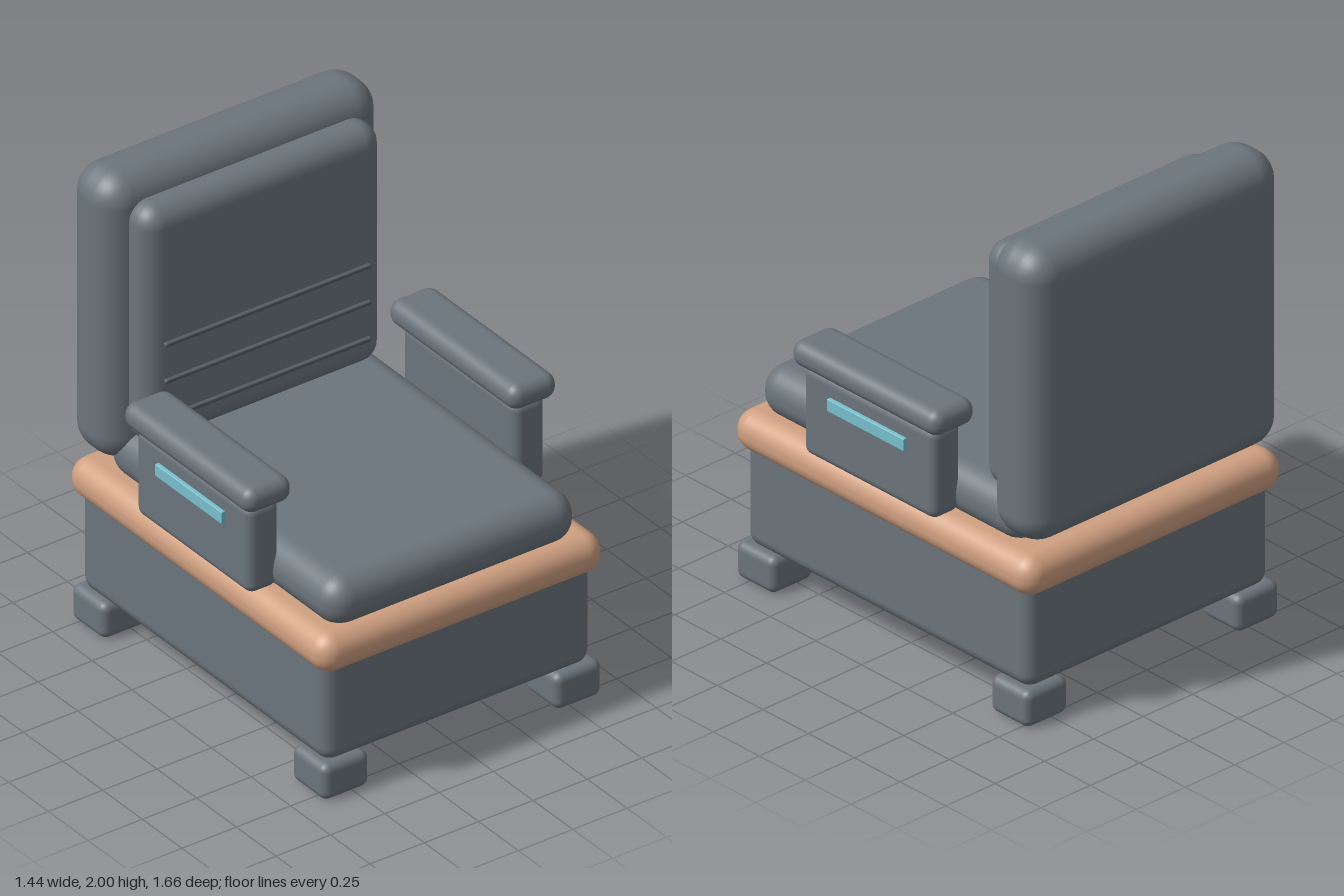
import * as THREE from 'three';
import { RoundedBoxGeometry } from 'three/addons/geometries/RoundedBoxGeometry.js';

const upholstery = new THREE.MeshStandardMaterial({ name: 'slate grey', color: 0x6b757c });
const trimColor = new THREE.MeshStandardMaterial({ name: 'warm tan', color: 0xd0a081 });
const accent = new THREE.MeshStandardMaterial({ name: 'pale cyan', color: 0x78c0ce });
const seam = new THREE.MeshStandardMaterial({ name: 'seam grey', color: 0x555d64 });

// Rounded box given by its [min, max] extents on each axis
function block(name, material, [x0, x1], [y0, y1], [z0, z1], radius) {
  const geometry = new RoundedBoxGeometry(x1 - x0, y1 - y0, z1 - z0, 4, radius);
  const mesh = new THREE.Mesh(geometry, material);
  mesh.name = name;
  mesh.position.set((x0 + x1) / 2, (y0 + y1) / 2, (z0 + z1) / 2);
  return mesh;
}

export function createModel() {
  const chair = new THREE.Group();
  chair.name = 'armchair';

  // Base, trim and seat
  chair.add(
    block('base', upholstery, [-0.617, 0.615], [0.14, 0.62], [-0.768, 0.79], 0.06),
    block('trim', trimColor, [-0.657, 0.653], [0.543, 0.712], [-0.81, 0.832], 0.08),
    block('seatCushion', upholstery, [-0.575, 0.572], [0.68, 0.892], [-0.675, 0.78], 0.1),
  );

  // Backrest with its front pad
  chair.add(
    block('backrest', upholstery, [-0.64, 0.636], [0.753, 2], [-0.828, -0.545], 0.12),
    block('backPad', upholstery, [-0.552, 0.546], [0.872, 1.91], [-0.605, -0.425], 0.085),
  );

  // Seams across the back pad
  for (const y of [1.004, 1.164, 1.325]) {
    chair.add(block('backSeam', seam, [-0.475, 0.47], [y - 0.009, y + 0.009], [-0.43, -0.41], 0.006));
  }

  for (const side of [-1, 1]) {
    // Ordered extents for a part mirrored across x
    const span = (inner, outer) => (side > 0 ? [inner, outer] : [-outer, -inner]);

    // Armrests
    const arm = new THREE.Group();
    arm.name = side > 0 ? 'leftArm' : 'rightArm';
    arm.add(
      block('armPanel', upholstery, span(0.54, 0.684), [0.712, 1.095], [-0.325, 0.4], 0.04),
      block('armPad', upholstery, span(0.502, 0.718), [1.085, 1.193], [-0.37, 0.438], 0.05),
      block('armStripe', accent, span(0.675, 0.7), [0.96, 1.013], [-0.175, 0.245], 0.004),
    );
    chair.add(arm);

    // Feet
    for (const z of [0.707, -0.684]) {
      chair.add(block('foot', upholstery, span(0.428, 0.642), [0, 0.155], [z - 0.107, z + 0.107], 0.035));
    }
  }
  return chair;
}
